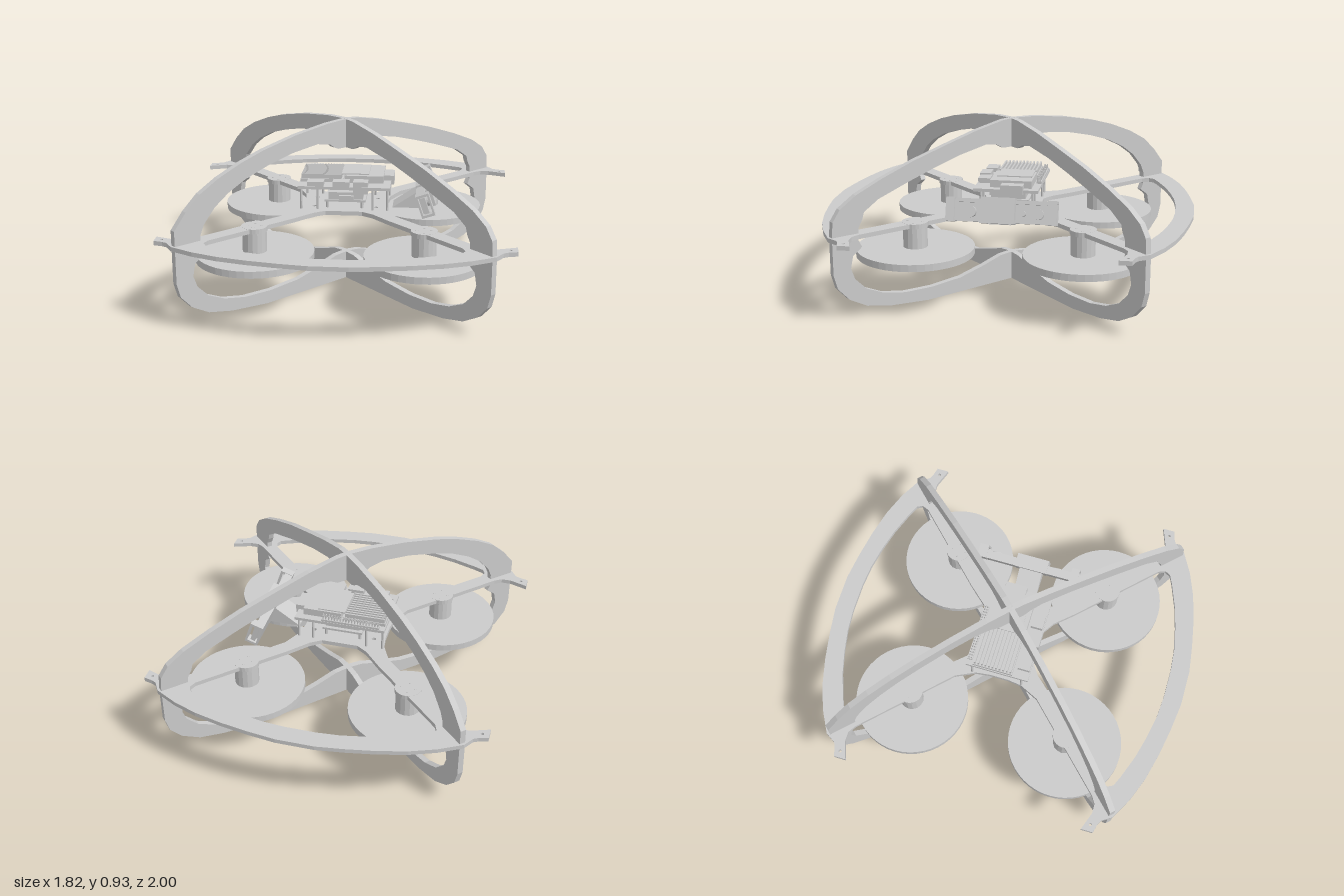
import * as THREE from 'three';

const material = new THREE.MeshStandardMaterial({ color: 0xcccccc, flatShading: true });
const vec = (pts, k = 1) => pts.map(([x, y]) => new THREE.Vector2(x * k, y));
const flipX = (pts) => pts.map(([x, y]) => [-x, y]).reverse();
const flipY = (pts) => pts.map(([x, y]) => [x, -y]).reverse();

function add(parent, name, geometry, x = 0, y = 0, z = 0) {
  const mesh = new THREE.Mesh(geometry, material);
  mesh.name = name;
  mesh.position.set(x, y, z);
  parent.add(mesh);
  return mesh;
}
// Box from its lower and upper limits
function box(parent, name, [x0, x1], [y0, y1], [z0, z1]) {
  return add(parent, name, new THREE.BoxGeometry(x1 - x0, y1 - y0, z1 - z0),
    (x0 + x1) / 2, (y0 + y1) / 2, (z0 + z1) / 2);
}
function rod(parent, name, r, y0, y1, x, z, sides = 12) {
  return add(parent, name, new THREE.CylinderGeometry(r, r, y1 - y0, sides), x, (y0 + y1) / 2, z);
}
const extrude = (shape, depth) =>
  new THREE.ExtrudeGeometry(shape, { depth, bevelEnabled: false, curveSegments: 8 });
// Outlines run clockwise, so holes run the other way
const cut = (shape, pts, k = 1) => shape.holes.push(new THREE.Path(vec(pts, k).reverse()));
const drill = (shape, x, y, r) =>
  shape.holes.push(new THREE.Path().absarc(x, y, r, 0, Math.PI * 2, false));

// Two upright guard rings, crossing on the diagonals
function addGuardRings(group) {
  const outer = [
    [0, 0.93], [0.05, 0.925], [0.17, 0.89], [0.3, 0.84], [0.45, 0.78], [0.58, 0.715], [0.69, 0.65],
    [0.755, 0.59], [0.785, 0.53], [0.79, 0.45], [0.79, 0.25], [0.775, 0.175], [0.73, 0.105],
    [0.66, 0.05], [0.56, 0.02], [0.4, 0], [0.2, 0.005], [0, 0.01], [-0.2, 0.005], [-0.4, 0],
    [-0.56, 0.02], [-0.66, 0.05], [-0.73, 0.105], [-0.775, 0.175], [-0.79, 0.25], [-0.79, 0.53],
    [-0.74, 0.615], [-0.68, 0.69], [-0.6, 0.752], [-0.5, 0.808], [-0.4, 0.85], [-0.25, 0.895], [-0.1, 0.923]];
  const lower = [
    [0.683, 0.48], [0.685, 0.41], [0.672, 0.375], [0.71, 0.335], [0.72, 0.27], [0.705, 0.21], [0.66, 0.145],
    [0.59, 0.1], [0.5, 0.075], [0.38, 0.07], [0.25, 0.085], [0.14, 0.125], [0.06, 0.16], [0.02, 0.165]];
  const inner = [
    [-0.05, 0.772], [0.05, 0.772], [0.08, 0.795], [0.13, 0.805], [0.25, 0.77], [0.36, 0.725], [0.47, 0.675],
    [0.6, 0.61], [0.66, 0.555], [0.667, 0.52], ...lower, ...flipX(lower),
    [-0.667, 0.53], [-0.62, 0.605], [-0.56, 0.665], [-0.48, 0.72], [-0.38, 0.765], [-0.27, 0.802],
    [-0.15, 0.822], [-0.09, 0.805], [-0.07, 0.785]];
  const shape = new THREE.Shape(vec(outer, Math.SQRT2));
  cut(shape, inner, Math.SQRT2);
  for (const side of [-1, 1]) {
    const geometry = extrude(shape, 0.032).translate(0, 0, -0.016).rotateY(side * Math.PI / 4);
    add(group, side < 0 ? 'guardRingA' : 'guardRingB', geometry);
  }
}

// Flat frame: hub, diagonal arms, end tabs and curved bumpers
function addFrame(group) {
  const quarter = [
    [0.1, 1], [0.25, 0.98], [0.4, 0.953], [0.55, 0.915], [0.68, 0.865], [0.8, 0.8], [0.835, 0.745],
    [0.86, 0.732], [0.908, 0.72], [0.908, 0.655], [0.81, 0.69], [0.76, 0.69], [0.72, 0.665],
    [0.4, 0.345], [0.29, 0.235], [0.24, 0.13], [0.23, 0.05]];
  const right = [...quarter, ...flipY(quarter)];
  const shape = new THREE.Shape(vec([...right, ...flipX(right)]));
  const halfGap = [
    [0.08, 0.9], [0.2, 0.89], [0.33, 0.865], [0.45, 0.833], [0.58, 0.785], [0.635, 0.76], [0.65, 0.73],
    [0.635, 0.69], [0.4, 0.455], [0.25, 0.305], [0.16, 0.205], [0.1, 0.165]];
  const gap = [...halfGap, ...flipX(halfGap)];
  cut(shape, gap);
  cut(shape, flipY(gap));
  for (const sx of [-1, 1]) for (const sz of [-1, 1]) {
    drill(shape, sx * 0.872, sz * 0.697, 0.008);
    drill(shape, sx * 0.17, sz * 0.08, 0.012);
  }
  add(group, 'framePlate', extrude(shape, 0.023).rotateX(Math.PI / 2), 0, 0.45, 0);
}

// Motor, propeller disc and mounting pad on one arm
function addRotor(group, x, z) {
  const rotor = new THREE.Group();
  rotor.name = 'rotor';
  rotor.position.set(x, 0, z);
  rod(rotor, 'motorPad', 0.07, 0.426, 0.451, 0, 0, 24);
  rod(rotor, 'motor', 0.065, 0.31, 0.428, 0, 0, 16);
  rod(rotor, 'propellerDisc', 0.313, 0.277, 0.314, 0, 0, 48);
  rod(rotor, 'shaft', 0.02, 0.232, 0.28, 0, 0, 12);
  for (let i = 0; i < 4; i++) {
    const a = i * Math.PI / 2;
    rod(rotor, 'padScrew', 0.007, 0.45, 0.4525, 0.038 * Math.cos(a), 0.038 * Math.sin(a), 8);
  }
  group.add(rotor);
}

// Stacked circuit boards with heat sink and connectors
function addElectronics(group) {
  const stack = new THREE.Group();
  stack.name = 'electronicsStack';
  box(stack, 'mainBoard', [-0.25, 0.25], [0.572, 0.588], [-0.18, 0.17]);
  for (const x of [-0.235, -0.145, 0.155, 0.235]) for (const z of [-0.15, 0.13])
    rod(stack, 'standoff', 0.007, 0.445, 0.575, x, z, 8);
  box(stack, 'heatSinkBase', [-0.245, -0.01], [0.588, 0.605], [-0.14, 0.08]);
  for (let i = 0; i < 11; i++) {
    const z = -0.135 + i * 0.02;
    box(stack, 'heatSinkFin', [-0.24, -0.02], [0.603, 0.63], [z, z + 0.009]);
  }
  box(stack, 'processorCard', [0, 0.21], [0.588, 0.628], [-0.14, 0.085]);
  box(stack, 'cardLid', [-0.02, 0.13], [0.626, 0.634], [-0.13, 0.06]);
  box(stack, 'pinHeaderBase', [-0.22, 0.1], [0.588, 0.6], [-0.178, -0.15]);
  for (let i = 0; i < 20; i++) for (const z of [-0.17, -0.157])
    box(stack, 'headerPin', [-0.215 + i * 0.016, -0.209 + i * 0.016], [0.6, 0.622], [z - 0.003, z + 0.003]);
  box(stack, 'portLeft', [-0.06, 0.03], [0.576, 0.618], [0.115, 0.175]);
  box(stack, 'portRight', [0.05, 0.13], [0.55, 0.615], [0.1, 0.165]);
  box(stack, 'portSmall', [-0.2, -0.11], [0.585, 0.612], [0.1, 0.165]);
  box(stack, 'sidePort', [0.2, 0.265], [0.565, 0.615], [-0.1, 0.02]);
  // Smaller controller board beneath
  box(stack, 'lowerBoard', [-0.11, 0.115], [0.486, 0.498], [-0.11, 0.11]);
  box(stack, 'lowerCase', [-0.09, 0.1], [0.498, 0.537], [-0.09, 0.1]);
  box(stack, 'lowerPort', [-0.03, 0.05], [0.498, 0.522], [0.09, 0.118]);
  for (const x of [-0.095, 0.095]) for (const z of [-0.095, 0.095])
    rod(stack, 'lowerStandoff', 0.009, 0.412, 0.49, x, z, 8);
  group.add(stack);
}

// Tilted camera bar on a wedge bracket, looking toward +x
function addCamera(group) {
  const wedge = new THREE.Shape(vec([[0.395, 0.54], [0.41, 0.54], [0.43, 0.448], [0.26, 0.448]]));
  add(group, 'cameraBracket', extrude(wedge, 0.13), 0, 0, -0.065);
  const camera = new THREE.Group();
  camera.name = 'camera';
  camera.position.set(0.442, 0.525, -0.02);
  camera.rotation.z = 0.33;
  box(camera, 'cameraBack', [-0.035, -0.012], [-0.06, 0.06], [-0.25, 0.25]);
  box(camera, 'cameraTopRail', [-0.035, 0.01], [0.04, 0.06], [-0.25, 0.25]);
  box(camera, 'cameraBottomRail', [-0.035, 0.01], [-0.06, -0.042], [-0.25, 0.25]);
  box(camera, 'cameraCentre', [-0.037, 0.037], [-0.066, 0.07], [-0.07, 0.11]);
  // Open end frames with the sensor board showing inside
  const rect = (w, h) => [[-w, h], [w, h], [w, -h], [-w, -h]];
  const frame = new THREE.Shape(vec(rect(0.036, 0.063)));
  cut(frame, rect(0.026, 0.05));
  for (const [z, depth] of [[-0.29, 0.05], [0.245, 0.045]]) {
    add(camera, 'cameraEndFrame', extrude(frame, depth), 0, 0, z);
    box(camera, 'sensorBoard', [-0.016, 0.01], [-0.045, 0.045], [z + 0.008, z + depth - 0.008]);
  }
  for (const [z, r] of [[0.165, 0.03], [-0.11, 0.015], [-0.19, 0.028]]) {
    const lens = add(camera, 'lens', new THREE.CylinderGeometry(r, r, 0.03, 20), 0, -0.008, z);
    lens.rotation.z = Math.PI / 2;
  }
  group.add(camera);
}

export function createModel() {
  const model = new THREE.Group();
  model.name = 'quadcopter';
  addGuardRings(model);
  addFrame(model);
  for (const x of [-0.443, 0.443]) for (const z of [-0.443, 0.443]) addRotor(model, x, z);
  addElectronics(model);
  addCamera(model);
  return model;
}
